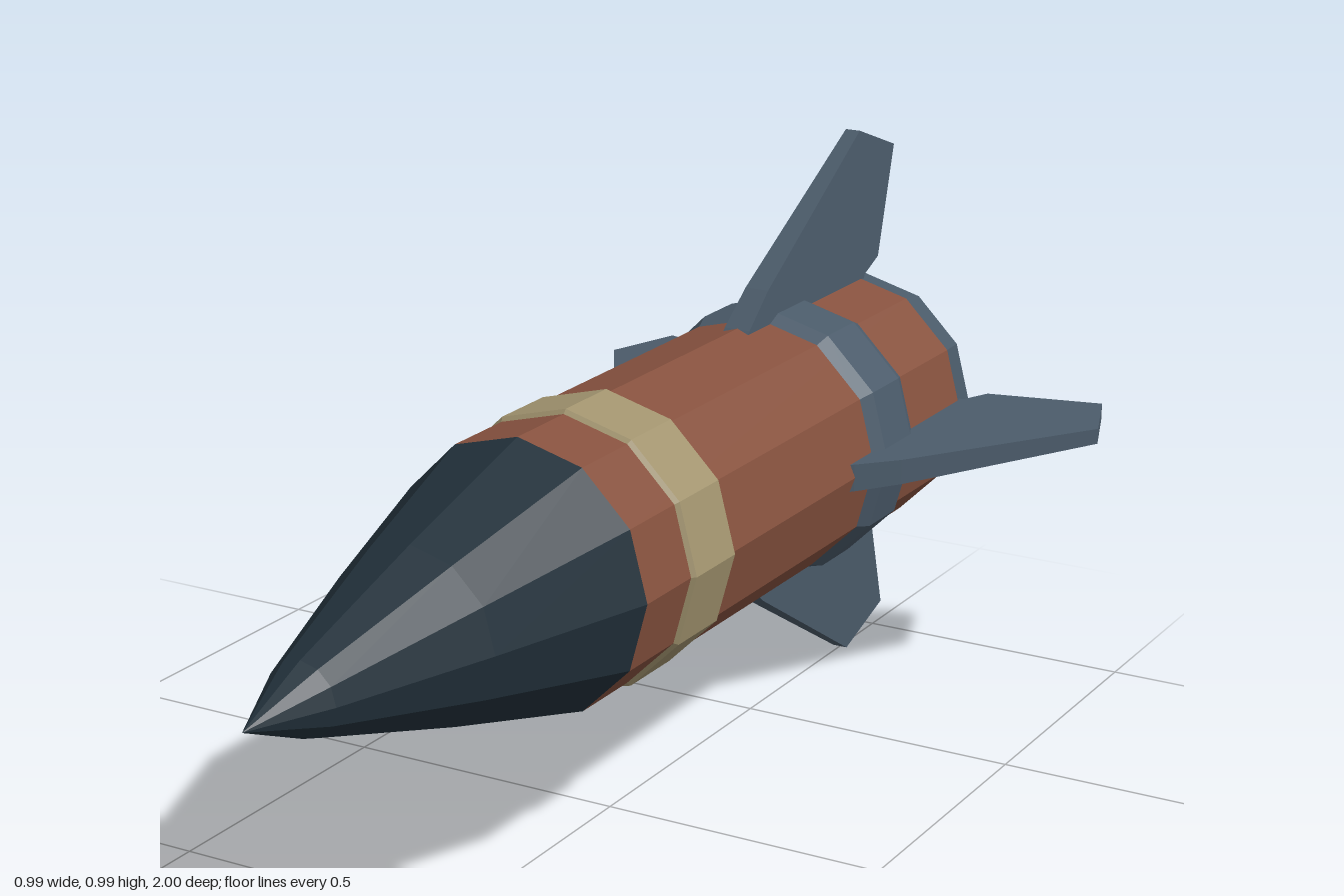
import * as THREE from 'three';

const SIDES = 12;
const CENTER_Y = 0.5;

function material(name, color, side = THREE.FrontSide) {
  const m = new THREE.MeshStandardMaterial({ color, flatShading: true, side });
  m.name = name;
  return m;
}

// Ring-shaped part along z, from [z, radius] pairs running back to front
function turned(name, profile, mat) {
  const points = profile.map(([z, r]) => new THREE.Vector2(r, z));
  const geometry = new THREE.LatheGeometry(points, SIDES).rotateX(Math.PI / 2);
  const mesh = new THREE.Mesh(geometry, mat);
  mesh.name = name;
  mesh.position.y = CENTER_Y;
  return mesh;
}

// Swept fin pointing up, thinner towards the tip
function finGeometry() {
  const outline = [
    [-0.40, 0.2], [-0.43, 0.23], [-0.5, 0.285], [-0.86, 0.497],
    [-1, 0.447], [-0.93, 0.252], [-0.875, 0.23], [-0.86, 0.2],
  ];
  const shape = new THREE.Shape(outline.map(([z, r]) => new THREE.Vector2(-z, r)));
  const geometry = new THREE.ExtrudeGeometry(shape, { depth: 2, bevelEnabled: false });
  geometry.translate(0, 0, -1).rotateY(Math.PI / 2);
  const pos = geometry.attributes.position;
  for (let i = 0; i < pos.count; i++) {
    const half = 0.024 - (pos.getY(i) - 0.23) * 0.038;
    pos.setX(i, pos.getX(i) * half);
  }
  geometry.computeVertexNormals();
  return geometry;
}

export function createModel() {
  const rocket = new THREE.Group();
  rocket.name = 'rocket';

  const rust = material('rust body', 0x87523f);
  const navy = material('dark navy', 0x22313b);
  const slate = material('slate', 0x4b5b6a);
  const cream = material('cream band', 0xa2946f);

  // Hull
  rocket.add(
    turned('noseCone', [[0.28, 0.231], [0.58, 0.147], [0.86, 0.06], [1, 0]], navy),
    turned('body', [[-0.86, 0.231], [0.28, 0.231]], rust),
    turned('frontBand', [[0.005, 0.229], [0.012, 0.238], [0.137, 0.238], [0.145, 0.229]], cream),
    turned('rearBand', [[-0.668, 0.229], [-0.635, 0.243], [-0.535, 0.243], [-0.5, 0.229]], slate),
  );

  // Tail rim and recessed nozzle
  rocket.add(
    turned('tailRim', [[-0.945, 0.138], [-0.965, 0.18], [-0.93, 0.216], [-0.86, 0.231]], slate),
    turned('nozzle', [[-0.76, 0], [-0.76, 0.11], [-0.945, 0.138]].map(([z, r]) => [z, r]), navy),
  );

  // Four fins around the tail
  const geometry = finGeometry();
  for (let i = 0; i < 4; i++) {
    const fin = new THREE.Mesh(geometry, slate);
    fin.name = ['topFin', 'leftFin', 'bottomFin', 'rightFin'][i];
    fin.position.y = CENTER_Y;
    fin.rotation.z = -i * Math.PI / 2;
    rocket.add(fin);
  }
  return rocket;
}
